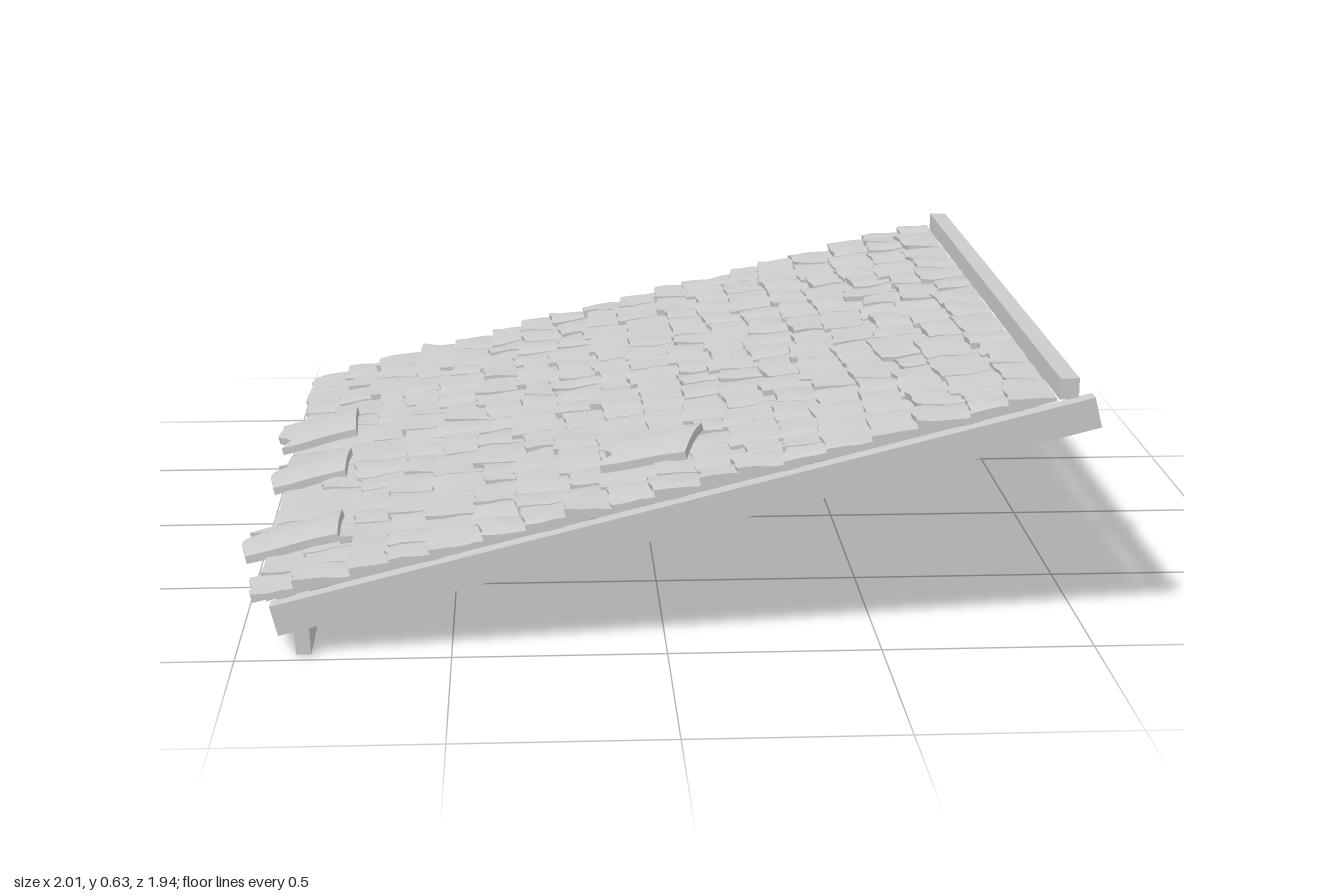
import * as THREE from 'three';
import { mergeGeometries, toCreasedNormals } from 'three/addons/utils/BufferGeometryUtils.js';

const SLOPE = Math.atan(0.25);
const grey = new THREE.MeshStandardMaterial({ color: 0xcccccc });

// Small seeded generator
let seed = 11;
const rand = (a = 0, b = 1) => {
  seed = (seed * 16807) % 2147483647;
  return a + (b - a) * (seed / 2147483647);
};

// Moves every vertex of a geometry by a rule, then restores normals
function reshape(geo, rule, crease = 0.7) {
  const p = geo.attributes.position, v = new THREE.Vector3();
  for (let i = 0; i < p.count; i++) {
    v.fromBufferAttribute(p, i);
    rule(v);
    p.setXYZ(i, v.x, v.y, v.z);
  }
  return toCreasedNormals(geo, crease);
}

function add(parent, name, geo) {
  const mesh = new THREE.Mesh(geo, grey);
  mesh.name = name;
  parent.add(mesh);
  return mesh;
}

// Box given by its limits on each axis
function box([x0, x1], [y0, y1], [z0, z1], segZ = 1) {
  return new THREE.BoxGeometry(x1 - x0, y1 - y0, z1 - z0, 1, 1, segZ)
    .translate((x0 + x1) / 2, (y0 + y1) / 2, (z0 + z1) / 2);
}

const bump = (s, z) =>
  0.0025 * Math.sin(31 * s + 9 * z) + 0.002 * Math.sin(43 * z - 17 * s) + 0.0015 * Math.sin(67 * s + 71 * z);

// Wedge-shaped shingle: thick uneven tail at the low end, thin head uphill
function shingle(tail, head, z0, z1) {
  const skew = rand(-0.008, 0.008), lift = rand(-0.004, 0.005), lean = rand(-0.005, 0.005);
  const phase = rand(0, 6);
  return reshape(new THREE.BoxGeometry(1, 1, 1, 4, 1, 5), (v) => {
    const u = v.x + 0.5, w = v.z + 0.5, top = v.y > 0;
    const edge = tail + skew * (2 * w - 1) + 0.003 * Math.sin(9 * w + phase);
    const s = THREE.MathUtils.lerp(edge, head, u);
    const z = THREE.MathUtils.lerp(z0, z1, w);
    const rounded = u === 0 || w === 0 || w === 1 ? 0.003 : 0;
    const h = top ? 0.025 + (0.019 + lift + lean * (2 * w - 1)) * (1 - u) + bump(s, z) - rounded : 0.017;
    v.set(s, h, z);
  }, 0.9);
}

// Separate broken tile with a chipped tail edge and a slight bow
function looseTile(length, width, notch) {
  return reshape(new THREE.BoxGeometry(length, 0.02, width, 8, 1, 12), (v) => {
    const u = v.x / length + 0.5, w = v.z / width + 0.5;
    const chip = 0.035 * Math.max(0, 1 - Math.abs(w - notch) / 0.17) + 0.006 * Math.sin(8 * w);
    v.x += chip * (1 - u);
    v.y += 0.009 * (1 - (2 * w - 1) ** 2) - 0.006 * (1 - u);
    v.z += 0.008 * (w - 0.5) * Math.sin(7 * u);
  });
}

export function createModel() {
  seed = 11;
  const model = new THREE.Group();
  model.name = 'leanToRoof';

  // Sloping frame: x runs uphill, y = 0 is the top of the rafters
  const roof = new THREE.Group();
  roof.name = 'slopedRoof';
  roof.rotation.z = SLOPE;
  roof.position.y = 0.35;
  model.add(roof);

  // Rafters
  for (const z of [-0.49, 0.49, 0.95]) {
    add(roof, 'rafter', box([-0.946, 1.011], [-0.074, 0], [z - 0.02, z + 0.02]));
  }

  // Battens lying across the rafters, some of them sagging
  [0.73, 0.3, 0.03, -0.27, -0.56, -0.91].forEach((s, i) => {
    const sag = i === 2 ? 0.012 : 0.002;
    const geo = box([s - 0.02, s + 0.02], [-0.006, 0.02], [-0.97, 0.935], 20);
    add(roof, 'batten', reshape(geo, (v) => {
      if (v.y < 0) v.y += sag * Math.exp(-((v.z + 0.12) ** 2) * 16);
      v.x += 0.002 * Math.sin(5 * v.z + i);
    }));
  });

  // Decking under the shingles
  add(roof, 'decking', box([-0.95, 0.925], [0.012, 0.02], [-0.966, 0.962]));

  // Shingle courses, laid with uneven widths and staggered tails
  const courses = 18, step = 0.106;
  for (let i = 0; i < courses; i++) {
    const parts = [];
    let z = -0.97;
    while (z < 0.964) {
      let next = z + rand(0.085, 0.2);
      if (next > 0.9) next = 0.965;
      const s = -0.975 + i * step + (i ? rand(-0.022, 0.022) : rand(-0.012, 0.012));
      const head = Math.min(-0.975 + (i + 1) * step + 0.035, 0.925);
      parts.push(shingle(s, head, z + 0.001, next - 0.001));
      z = next;
    }
    add(roof, 'shingleCourse', mergeGeometries(parts));
  }

  // Loose tiles: [s, height, z, length, width, turn, notch]
  const loose = [
    [-0.905, 0.053, -0.27, 0.215, 0.225, 0.04, 0.8],
    [-0.9, 0.047, 0.095, 0.2, 0.19, -0.02, 0.2],
    [-0.9, 0.053, 0.645, 0.235, 0.18, 0, 0.25],
    [-0.01, 0.056, 0.67, 0.22, 0.2, -0.27, 0.72],
  ];
  for (const [s, h, z, length, width, turn, notch] of loose) {
    const tile = add(roof, 'looseTile', looseTile(length, width, notch));
    tile.position.set(s, h, z);
    tile.rotation.set(0, turn, -0.03);
  }

  // Ridge board along the high edge
  add(model, 'ridgeBoard', box([0.905, 0.95], [0.582, 0.632], [-0.97, 0.935]));

  // Fascia board under the low edge, in two lengths with a worn lower edge
  for (const [z0, z1] of [[-0.97, 0.602], [0.606, 0.97]]) {
    add(model, 'fasciaBoard', reshape(box([-0.86, -0.825], [0, 0.13], [z0, z1], 24), (v) => {
      if (v.y < 0.01) {
        v.y += 0.014 * Math.exp(-((v.z + 0.27) ** 2) * 90) + 0.002 * (1 + Math.sin(13 * v.z));
      } else {
        v.x -= 0.006;
      }
    }));
  }

  return model;
}
